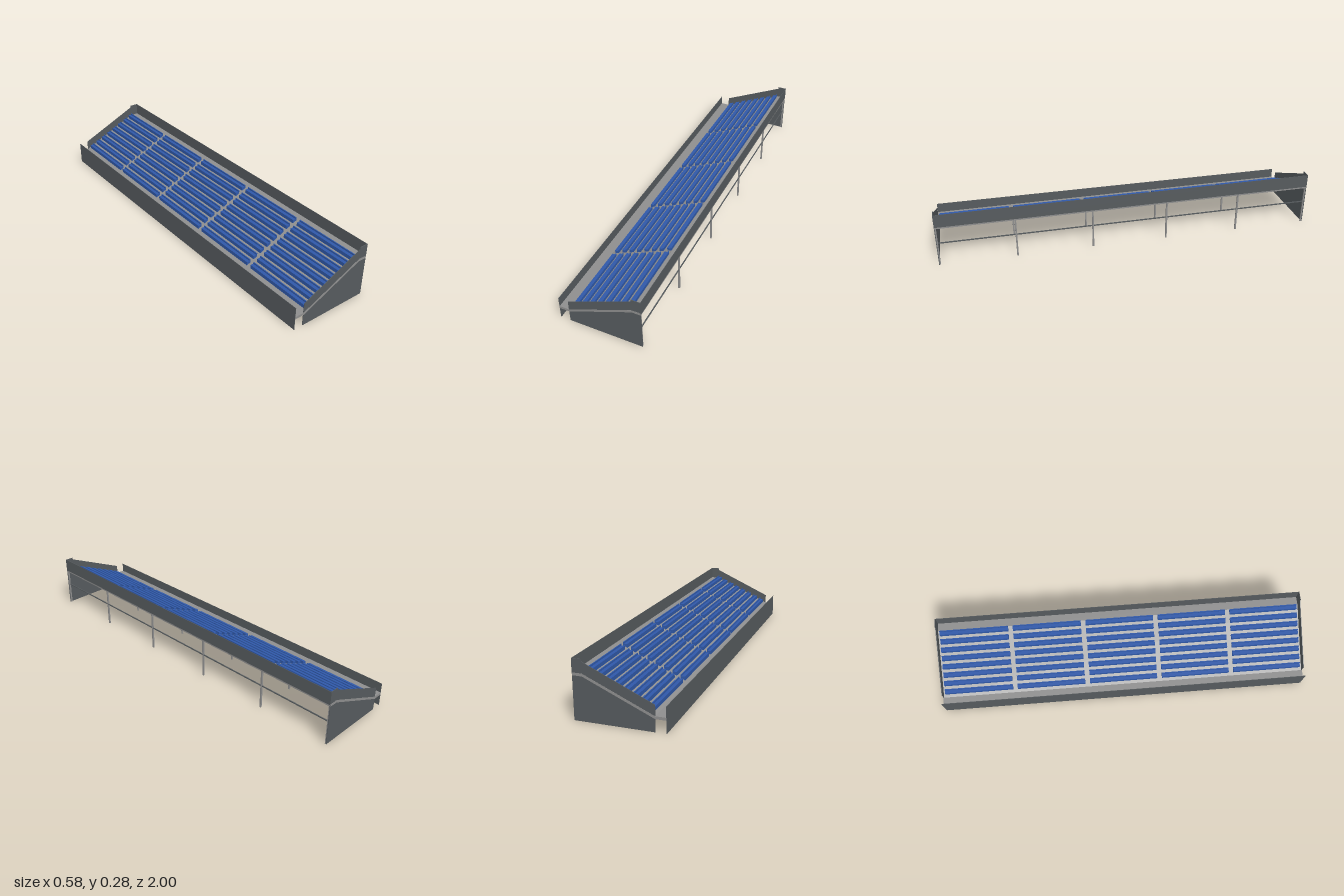
import * as THREE from 'three';

const HALF = 0.985;             // half length of the stand
const BAY = (HALF * 2) / 5;     // five seating bays
const LOW = -0.214, HIGH = 0.213;
const SLOPE_START = -0.164, SLOPE_END = 0.167;

const mat = (name, color) => {
  const m = new THREE.MeshStandardMaterial({ color });
  m.name = name;
  return m;
};

// Extrudes a cross-section (across, up) along the stand, centred at z.
function prism(points, length, z, material, name) {
  const shape = new THREE.Shape(points.map(([x, y]) => new THREE.Vector2(x, y)));
  const geo = new THREE.ExtrudeGeometry(shape, { depth: length, bevelEnabled: false });
  geo.translate(0, 0, z - length / 2);
  const mesh = new THREE.Mesh(geo, material);
  mesh.name = name;
  return mesh;
}

function box(w, h, d, x, y, z, material, name) {
  const mesh = new THREE.Mesh(new THREE.BoxGeometry(w, h, d), material);
  mesh.position.set(x, y, z);
  mesh.name = name;
  return mesh;
}

export function createModel() {
  const wall = mat('dark grey cladding', 0x565b5e);
  const concrete = mat('light grey concrete', 0x8e8e8e);
  const blue = mat('blue seating', 0x2f58a8);

  const model = new THREE.Group();
  model.name = 'grandstand';
  const stand = new THREE.Group();
  stand.name = 'stand';
  stand.rotation.y = THREE.MathUtils.degToRad(-4.45);
  model.add(stand);

  // Sloping deck with a flat walkway at the foot and at the top
  const lower = [[LOW, 0.060], [SLOPE_START, 0.060], [SLOPE_END, 0.207], [HIGH, 0.207]];
  const upper = [[HIGH, 0.220], [SLOPE_END, 0.220], [SLOPE_START, 0.073], [LOW, 0.073]];
  stand.add(prism([...lower, ...upper], HALF * 2 + 0.001, 0, concrete, 'deck'));

  // Solid end walls with a raised parapet
  const endProfile = [
    [SLOPE_START, 0], [HIGH, 0], [HIGH, 0.284], [SLOPE_END, 0.284],
    [SLOPE_END, 0.273], [SLOPE_START, 0.123],
  ];
  for (const s of [-1, 1]) {
    stand.add(prism(endProfile, 0.003, s * (HALF - 0.0015), wall, 'endWall'));
  }

  // Long walls at the foot and along the top
  stand.add(box(0.002, 0.123, HALF * 2, LOW, 0.0615, 0, wall, 'frontWall'));
  stand.add(box(0.002, 0.069, HALF * 2, HIGH, 0.2495, 0, wall, 'rearParapet'));

  // Posts under the deck and the rail joining the rear row
  for (let i = 1; i < 5; i++) {
    const z = -HALF + i * BAY;
    stand.add(box(0.008, 0.208, 0.008, 0.208, 0.104, z, concrete, 'rearPost'));
    stand.add(box(0.008, 0.132, 0.008, -0.01, 0.066, z, concrete, 'middlePost'));
  }
  for (const s of [-1, 1]) {
    stand.add(box(0.008, 0.208, 0.008, 0.207, 0.104, s * (HALF - 0.005), concrete, 'rearPost'));
  }
  stand.add(box(0.005, 0.005, HALF * 2, 0.208, 0.124, 0, wall, 'rearRail'));

  // Eight rows of benches in each bay
  const bench = [
    [-0.011, -0.006], [0.011, -0.002], [0.011, 0.022],
    [0.006, 0.022], [0.006, 0.014], [-0.011, 0.014],
  ];
  for (let bay = 0; bay < 5; bay++) {
    const z = -HALF + (bay + 0.5) * BAY;
    for (let row = 0; row < 8; row++) {
      const x = -0.138 + row * 0.0415;
      const seat = prism(bench, 0.368, 0, blue, 'bench');
      seat.position.set(x, 0.073 + (x - SLOPE_START) * 0.444, z);
      stand.add(seat);
    }
  }
  return model;
}
